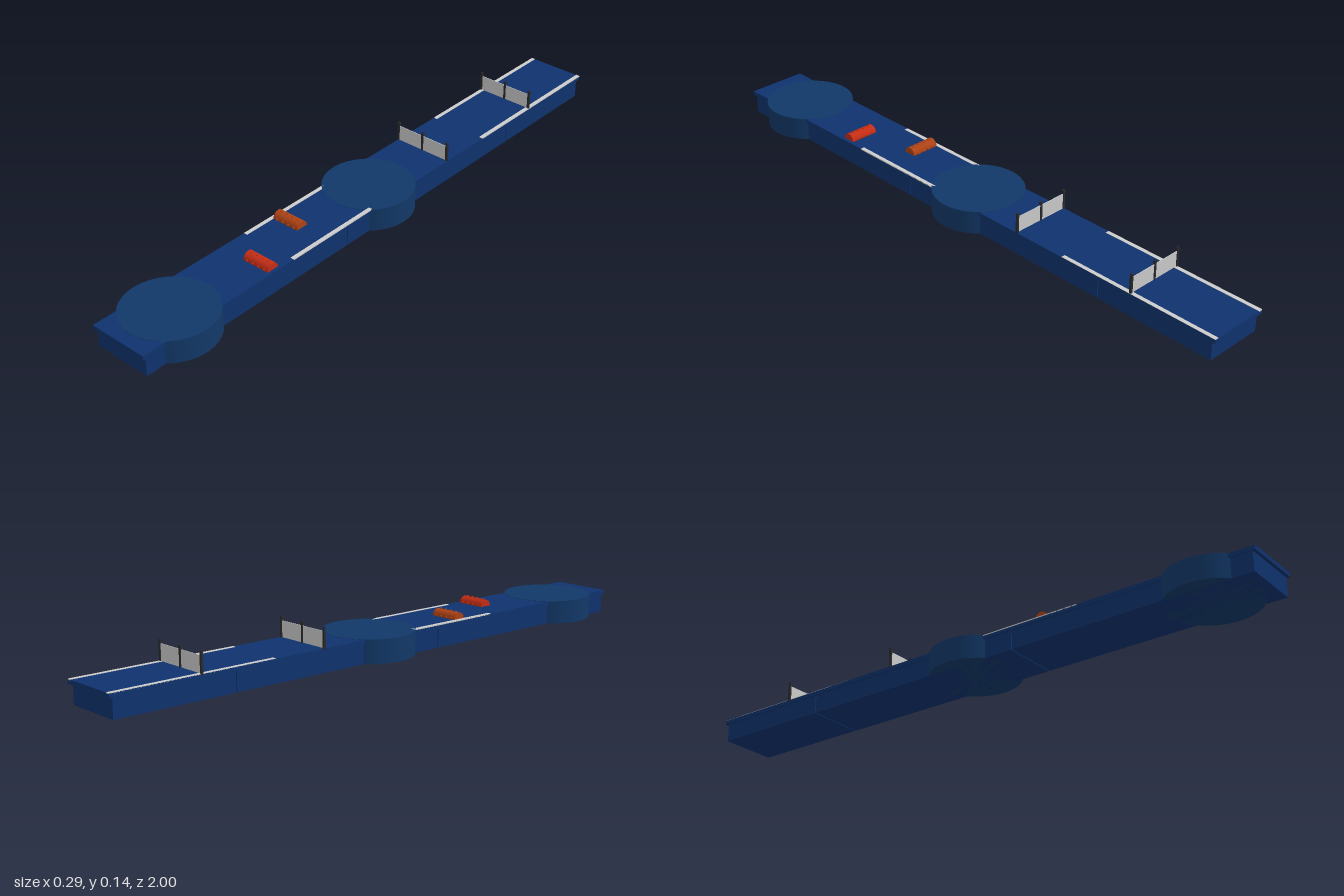
import * as THREE from 'three';

const mat = (color) => new THREE.MeshStandardMaterial({ color });

export function createModel() {
  const model = new THREE.Group();
  const blue = mat(0x0f326d), drumBlue = mat(0x123868), grey = mat(0xcccccc);
  const dark = mat(0x2a2a2e), orange = mat(0xad4215), red = mat(0xc42d15);

  const add = (parent, name, geometry, material, x, y, z) => {
    const mesh = new THREE.Mesh(geometry, material);
    mesh.name = name;
    mesh.position.set(x, y, z);
    parent.add(mesh);
    return mesh;
  };
  // Box given by its bottom and top height and its z range
  const slab = (parent, name, material, x, w, y0, y1, z0, z1) =>
    add(parent, name, new THREE.BoxGeometry(w, y1 - y0, z1 - z0), material,
      x, (y0 + y1) / 2, (z0 + z1) / 2);

  // Base in three sections with fine seams
  for (const [z0, z1] of [[-0.988, -0.588], [-0.585, 0.195], [0.198, 0.99]])
    slab(model, 'baseSection', blue, 0, 0.192, 0, 0.064, z0, z1);

  // Overhanging deck
  slab(model, 'deck', blue, 0, 0.2, 0.061, 0.0745, -1, 1);

  // Round platforms
  for (const z of [-0.008, 0.815])
    add(model, 'roundPlatform', new THREE.CylinderGeometry(0.144, 0.144, 0.0755, 64),
      drumBlue, 0, 0.03775, z);

  // Pale edge strips on both sides
  for (const side of [-1, 1])
    for (const [z0, z1] of [[-1, -0.45], [0.09, 0.43]])
      slab(model, 'edgeStrip', grey, side * 0.0935, 0.013, 0.072, 0.0755, z0, z1);

  // Cross fences: three posts and a thin panel
  for (const z of [-0.27, -0.705]) {
    const fence = new THREE.Group();
    fence.name = 'fence';
    fence.position.z = z;
    model.add(fence);
    for (const x of [-0.098, -0.001, 0.096])
      slab(fence, 'fencePost', dark, x, 0.007, 0.07, 0.139, -0.0035, 0.0035);
    slab(fence, 'fencePanel', grey, -0.001, 0.188, 0.075, 0.126, -0.001, 0.001);
  }

  // Half-round bumpers with rows of studs
  const bumper = (x, z, material) => {
    const group = new THREE.Group();
    group.name = 'bumper';
    group.position.set(x, 0.0745, z);
    model.add(group);
    const body = add(group, 'bumperBody',
      new THREE.CylinderGeometry(0.021, 0.021, 0.096, 32), material, 0, 0, 0);
    body.rotation.z = Math.PI / 2;
    const stud = new THREE.SphereGeometry(0.004, 12, 8);
    for (let i = 0; i < 4; i++)
      for (const a of [0.15, Math.PI / 2, Math.PI - 0.15])
        add(group, 'stud', stud, material, (i - 1.5) * 0.022,
          0.021 * Math.sin(a), 0.021 * Math.cos(a));
  };
  bumper(-0.04, 0.298, orange);
  bumper(0.04, 0.503, red);

  return model;
}
